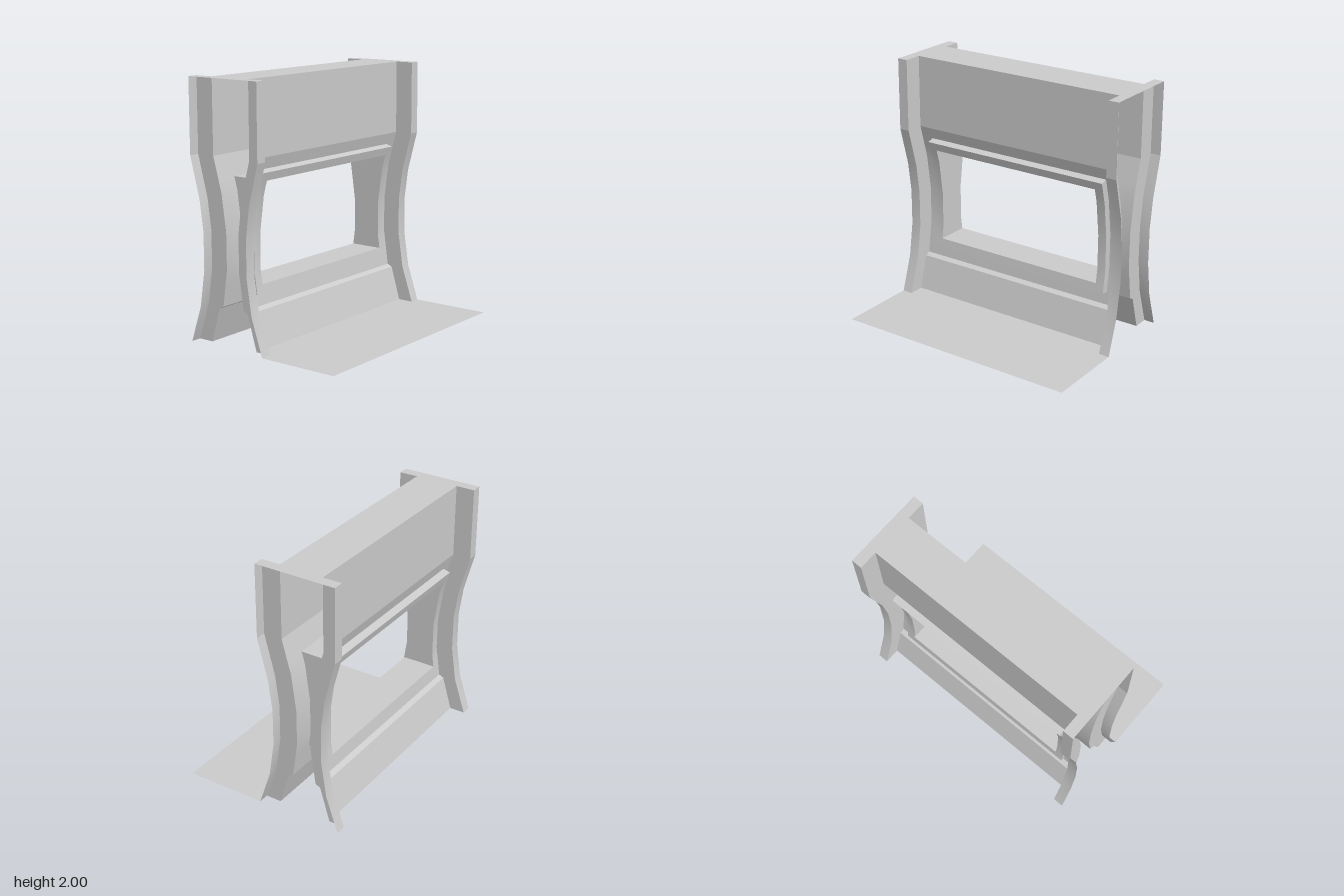
import * as THREE from 'three';
import { toCreasedNormals } from 'three/addons/utils/BufferGeometryUtils.js';

const material = new THREE.MeshStandardMaterial({ color: 0xcccccc, side: THREE.DoubleSide });
const MID = -0.325; // depth of the symmetry plane between both faces

// Profiles as [y, z], from top to bottom
const flangeProfile = [[2, 0], [1.42, 0], [1.1, -0.085], [0.86, -0.117], [0.57, -0.117], [0.29, -0.075], [0, 0.022]];
const wallProfile = [[2, -0.15], [1.42, -0.15], [1.15, -0.225], [0.86, -0.265], [0.57, -0.265],
  [0.29, -0.225], [0.27, -0.185], [0, -0.105]];

const OUT = 1, IN = 0.915;         // flange edges
const FRAME_X = 0.812, HOLE_X = 0.742; // window frame and opening half widths
const FRAME_Y = [0.39, 1.33], HOLE_Y = [0.465, 1.25];

function add(parent, geometry, name) {
  const mesh = new THREE.Mesh(geometry, material);
  mesh.name = name;
  parent.add(mesh);
}

// Sheet between two rows of [x, y, z] points
function loft(a, b) {
  const pos = [];
  for (let i = 0; i < a.length - 1; i++) {
    pos.push(...a[i], ...a[i + 1], ...b[i + 1], ...a[i], ...b[i + 1], ...b[i]);
  }
  const g = new THREE.BufferGeometry();
  g.setAttribute('position', new THREE.Float32BufferAttribute(pos, 3));
  return toCreasedNormals(g, 0.21);
}

const at = (profile, x) => profile.map(([y, z]) => [x, y, z]);
const strip = (profile, x0, x1) => loft(at(profile, x0), at(profile, x1));

// Part of a profile between two heights
function clip(profile, y0, y1) {
  const point = (y) => {
    const i = profile.findIndex((p, k) => k > 0 && p[0] <= y + 1e-6);
    const [a, b] = [profile[i - 1], profile[i]];
    return [y, a[1] + (b[1] - a[1]) * (a[0] - y) / (a[0] - b[0])];
  };
  return [point(y1), ...profile.filter(([y]) => y < y1 - 1e-4 && y > y0 + 1e-4), point(y0)];
}

// Profile pushed outward along its normal
function offset(profile, d) {
  return profile.map(([y, z], i) => {
    const a = profile[Math.max(i - 1, 0)], b = profile[Math.min(i + 1, profile.length - 1)];
    const dy = a[0] - b[0], dz = a[1] - b[1], l = Math.hypot(dy, dz);
    return [y - d * dz / l, z + d * dy / l];
  });
}

// Curved sheet with a rectangular opening
function panelWithOpening(parent, profile, halfWidth, name) {
  const top = profile[0][0], bottom = profile[profile.length - 1][0];
  add(parent, strip(clip(profile, HOLE_Y[1], top), -halfWidth, halfWidth), name + 'Top');
  add(parent, strip(clip(profile, bottom, HOLE_Y[0]), -halfWidth, halfWidth), name + 'Bottom');
  for (const s of [-1, 1]) {
    add(parent, strip(clip(profile, ...HOLE_Y), s * halfWidth, s * HOLE_X), name + 'Side');
  }
}

// Flat horizontal sheet from [x, z] corners
function flatSheet(points, y) {
  const shape = new THREE.Shape(points.map(([x, z]) => new THREE.Vector2(x, -z)));
  return new THREE.ShapeGeometry(shape).rotateX(-Math.PI / 2).translate(0, y, 0);
}

function buildFace(name) {
  const face = new THREE.Group();
  face.name = name;
  panelWithOpening(face, wallProfile, IN, 'wall');

  // Raised window frame
  const frameBase = clip(wallProfile, ...FRAME_Y);
  const frameFront = offset(frameBase, 0.06);
  panelWithOpening(face, frameFront, FRAME_X, 'windowFrame');
  for (const i of [0, frameBase.length - 1]) {
    const [b, f] = [frameBase[i], frameFront[i]];
    add(face, strip([b, f], -FRAME_X, FRAME_X), 'frameEdge');
  }

  // Window tunnel, half way through
  const reveal = clip(frameFront, ...HOLE_Y);
  for (const y of HOLE_Y) {
    const [, z] = reveal.find((p) => p[0] === y);
    add(face, strip([[y, z], [y, MID]], -HOLE_X, HOLE_X), 'windowReveal');
  }

  for (const s of [-1, 1]) {
    add(face, loft(at(frameBase, s * FRAME_X), at(frameFront, s * FRAME_X)), 'frameSideEdge');
    add(face, loft(at(reveal, s * HOLE_X), at(reveal.map(([y]) => [y, MID]), s * HOLE_X)), 'windowSideReveal');
    // Post: outer flange and the flank joining it to the wall
    add(face, strip(flangeProfile, s * IN, s * OUT), 'postFlange');
    const outline = [...flangeProfile, ...[...wallProfile].reverse()].map(([y, z]) => new THREE.Vector2(z, y));
    const flank = new THREE.ShapeGeometry(new THREE.Shape(outline)).rotateY(-Math.PI / 2).translate(s * IN, 0, 0);
    add(face, flank, 'postFlank');
  }
  return face;
}

export function createModel() {
  const model = new THREE.Group();
  model.name = 'windowStand';
  const front = buildFace('frontFace');
  const back = buildFace('backFace');
  back.scale.z = -1;
  back.position.z = 2 * MID;
  model.add(front, back);

  // Top sheet, notched between the posts
  const zb = 2 * MID;
  add(model, flatSheet([[-OUT, 0], [-IN, 0], [-IN, -0.15], [IN, -0.15], [IN, 0], [OUT, 0],
    [OUT, zb], [IN, zb], [IN, zb + 0.15], [-IN, zb + 0.15], [-IN, zb], [-OUT, zb]], 2), 'topSheet');

  // Floor sheet in front, reaching back to the wall
  add(model, flatSheet([[-OUT, 0.673], [OUT, 0.673], [OUT, 0.022], [IN, 0.022], [IN, -0.105],
    [-IN, -0.105], [-IN, 0.022], [-OUT, 0.022]], 0), 'floorSheet');
  return model;
}
